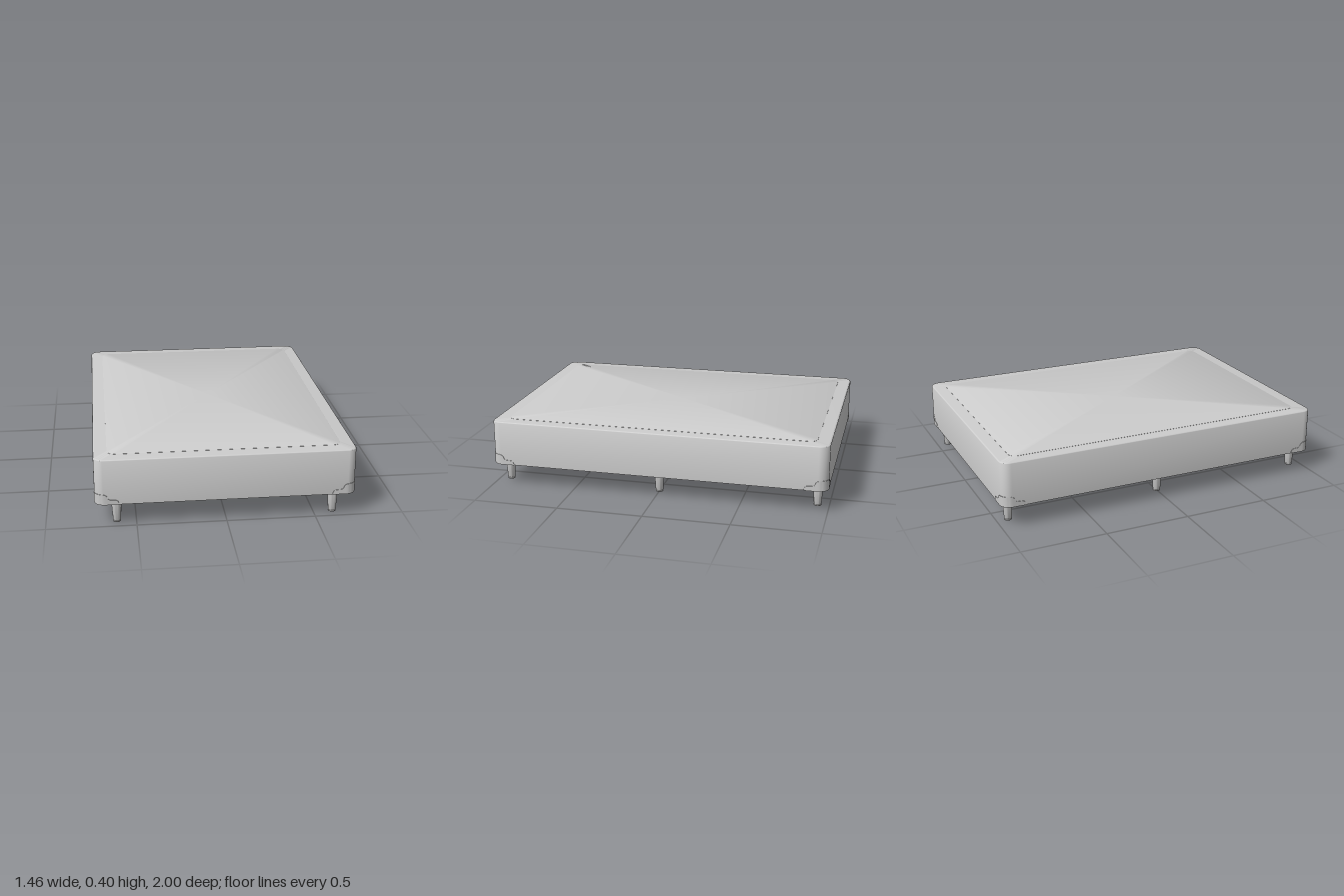
import * as THREE from 'three';
import { toCreasedNormals } from 'three/addons/utils/BufferGeometryUtils.js';

const W = 0.728, D = 0.998, R = 0.058, BOTTOM = 0.13, TOP = 0.393;
const ARC = 10;

// Rounded rectangle in plan, as [x, z] points
function roundedRect(hw, hd, r) {
  const pts = [];
  for (let q = 0; q < 4; q++) {
    const sx = q === 0 || q === 3 ? 1 : -1, sz = q < 2 ? 1 : -1;
    for (let i = 0; i <= ARC; i++) {
      const a = (q + i / ARC) * Math.PI / 2;
      pts.push([sx * (hw - r) + r * Math.cos(a), sz * (hd - r) + r * Math.sin(a)]);
    }
  }
  return pts;
}

// Closed solid from rounded rectangles stacked as [y, inset]
function stackedSlab(hw, hd, r, levels) {
  const pos = [], idx = [];
  const n = 4 * (ARC + 1);
  for (const [y, inset] of levels)
    for (const [x, z] of roundedRect(hw - inset, hd - inset, r - inset)) pos.push(x, y, z);
  for (let k = 0; k < levels.length - 1; k++)
    for (let i = 0; i < n; i++) {
      const a = k * n + i, b = k * n + (i + 1) % n;
      idx.push(a, a + n, b, b, a + n, b + n);
    }
  const last = (levels.length - 1) * n, c = levels.length * n;
  pos.push(0, levels[0][0], 0, 0, levels[levels.length - 1][0], 0);
  for (let i = 0; i < n; i++) {
    const j = (i + 1) % n;
    idx.push(c, i, j, c + 1, last + j, last + i);
  }
  return finish(pos, idx, 0.7);
}

function finish(pos, idx, crease) {
  const g = new THREE.BufferGeometry();
  g.setAttribute('position', new THREE.Float32BufferAttribute(pos, 3));
  g.setIndex(idx);
  return toCreasedNormals(g, crease);
}

// Thin stepped guard wrapped round one corner; the sharp corner sits at the origin
function cornerGuardGeometry() {
  const t = 0.002;
  // distance from the corner, height of the guard there
  const steps = [[0.135, 0.004], [0.13, 0.018], [0.12, 0.026], [0.085, 0.028], [0.075, 0.034],
    [0.068, 0.05], [R, 0.058]];
  const path = steps.map(([d, h]) => ({ x: -d, z: 0, nx: 0, nz: 1, h }));
  for (let i = 1; i < ARC; i++) {
    const a = Math.PI / 2 * (1 - i / ARC), nx = Math.cos(a), nz = Math.sin(a);
    path.push({ x: -R + R * nx, z: -R + R * nz, nx, nz, h: 0.06 });
  }
  for (const [d, h] of [...steps].reverse()) path.push({ x: 0, z: -d, nx: 1, nz: 0, h });

  const pos = [], idx = [];
  for (const p of path)
    for (const [off, y] of [[-0.01, -0.001], [t, -0.001], [t, p.h], [-0.002, p.h + 0.001]])
      pos.push(p.x + p.nx * off, y, p.z + p.nz * off);
  for (let i = 0; i < path.length - 1; i++)
    for (let k = 0; k < 3; k++) {
      const a = i * 4 + k, b = a + 4;
      idx.push(a, b, a + 1, b, b + 1, a + 1);
    }
  const e = (path.length - 1) * 4;
  idx.push(0, 1, 2, 0, 2, 3, e, e + 2, e + 1, e, e + 3, e + 2);
  return finish(pos, idx, 0.6);
}

export function createModel() {
  const group = new THREE.Group();
  const material = new THREE.MeshStandardMaterial({ color: 0xcccccc });
  const guardMaterial = new THREE.MeshStandardMaterial({ color: 0xcccccc, side: THREE.DoubleSide });
  const add = (name, geometry, mat = material) => {
    const mesh = new THREE.Mesh(geometry, mat);
    mesh.name = name;
    group.add(mesh);
    return mesh;
  };

  // Upholstered box with a softly rounded top edge
  const levels = [[BOTTOM, 0]];
  const edge = 0.01;
  for (let i = 0; i <= 4; i++) {
    const a = i / 4 * Math.PI / 2;
    levels.push([TOP - edge + edge * Math.sin(a), edge * (1 - Math.cos(a))]);
  }
  add('bedBase', stackedSlab(W, D, R, levels));

  // Cover panel set on the top
  const panel = add('topPanel', stackedSlab(0.652, 0.918, 0.045,
    [[TOP - 0.005, 0], [TOP + 0.001, 0], [TOP + 0.002, 0.002]]));
  panel.position.z = -0.002;

  // Corner guards
  const guard = cornerGuardGeometry();
  [[1, 1], [1, -1], [-1, -1], [-1, 1]].forEach(([sx, sz], i) => {
    const mesh = add('cornerGuard', guard, guardMaterial);
    mesh.position.set(sx * W, BOTTOM, sz * D);
    mesh.rotation.y = i * Math.PI / 2;
  });

  // Tapered legs with a small foot pad
  const profile = [[0, 0], [0.02, 0], [0.022, 0.002], [0.022, 0.008], [0.0205, 0.009],
    [0.022, 0.012], [0.029, 0.125], [0.029, 0.135]].map(([x, y]) => new THREE.Vector2(x, y));
  const leg = toCreasedNormals(new THREE.LatheGeometry(profile, 24), 0.6);
  for (const x of [-0.608, 0.608])
    for (const z of [-0.933, 0, 0.933]) add('leg', leg).position.set(x, 0, z);

  return group;
}
